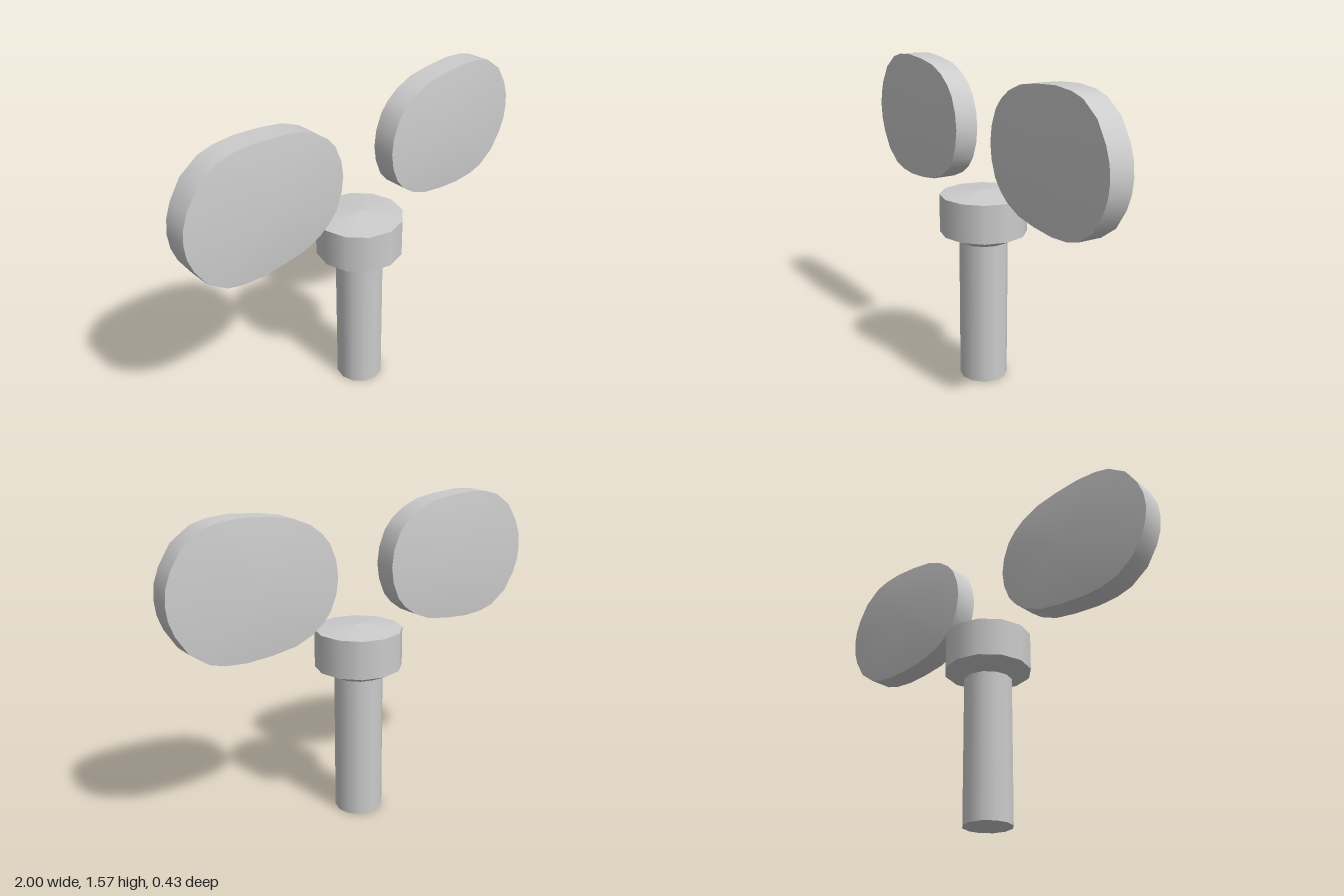
import * as THREE from 'three';

const SIDES = 12;
const WING_Y = 1.25;

// Upper half of the wing outline, outer tip to inner tip: x, height above mid-line
const UPPER = [
  [1.0, 0], [0.992, 0.07], [0.967, 0.138], [0.91, 0.228], [0.82, 0.292], [0.745, 0.313], [0.64, 0.321],
  [0.51, 0.312], [0.39, 0.293], [0.30, 0.255], [0.24, 0.21], [0.198, 0.16], [0.166, 0.08], [0.155, 0],
];

// Triangles with smooth normals inside one surface
function surface(positions, index) {
  const g = new THREE.BufferGeometry();
  g.setAttribute('position', new THREE.Float32BufferAttribute(positions, 3));
  g.setIndex(index);
  g.computeVertexNormals();
  return g;
}

function createWing(name, material) {
  const wing = new THREE.Group();
  wing.name = name;
  const outline = [...UPPER, ...UPPER.slice(1, -1).reverse().map(([x, y]) => [x, -y])];
  const n = outline.length;
  const rim = 0.06, peak = 0.095, middle = 0.55;

  // Outer band
  const wall = [], wallIndex = [];
  outline.forEach(([x, y], i) => {
    wall.push(x, y, -rim, x, y, rim);
    const a = 2 * i, b = 2 * ((i + 1) % n);
    wallIndex.push(a, b, b + 1, a, b + 1, a + 1);
  });
  const band = new THREE.Mesh(surface(wall, wallIndex), material);
  band.name = 'wingRim';
  wing.add(band);

  // Shallow conical faces, front and back
  for (const s of [1, -1]) {
    const p = [middle, 0, s * peak], index = [];
    outline.forEach(([x, y], i) => {
      p.push(x, y, s * rim);
      const a = i + 1, b = ((i + 1) % n) + 1;
      index.push(0, ...(s > 0 ? [a, b] : [b, a]));
    });
    const face = new THREE.Mesh(surface(p, index), material);
    face.name = s > 0 ? 'wingFront' : 'wingBack';
    wing.add(face);
  }
  wing.position.y = WING_Y;
  return wing;
}

export function createModel() {
  const model = new THREE.Group();
  model.name = 'wingedPost';
  const grey = new THREE.MeshStandardMaterial({ color: 0xcccccc });
  grey.name = 'lightGrey';

  // Round section between two heights
  const section = (name, rTop, rBottom, y0, y1, open) => {
    const g = new THREE.CylinderGeometry(rTop, rBottom, y1 - y0, SIDES, 1, open);
    const mesh = new THREE.Mesh(g, grey);
    mesh.name = name;
    mesh.position.y = (y0 + y1) / 2;
    model.add(mesh);
  };
  section('stem', 0.12, 0.12, 0, 0.725, false);
  section('headUnderside', 0.215, 0.12, 0.725, 0.77, true);
  section('headBand', 0.215, 0.215, 0.77, 0.96, true);
  section('headTop', 0, 0.215, 0.96, 0.983, true);

  // Floating wings; the half turn mirrors the second one
  const left = createWing('leftWing', grey);
  const right = createWing('rightWing', grey);
  right.rotation.y = Math.PI;
  model.add(left, right);
  return model;
}
